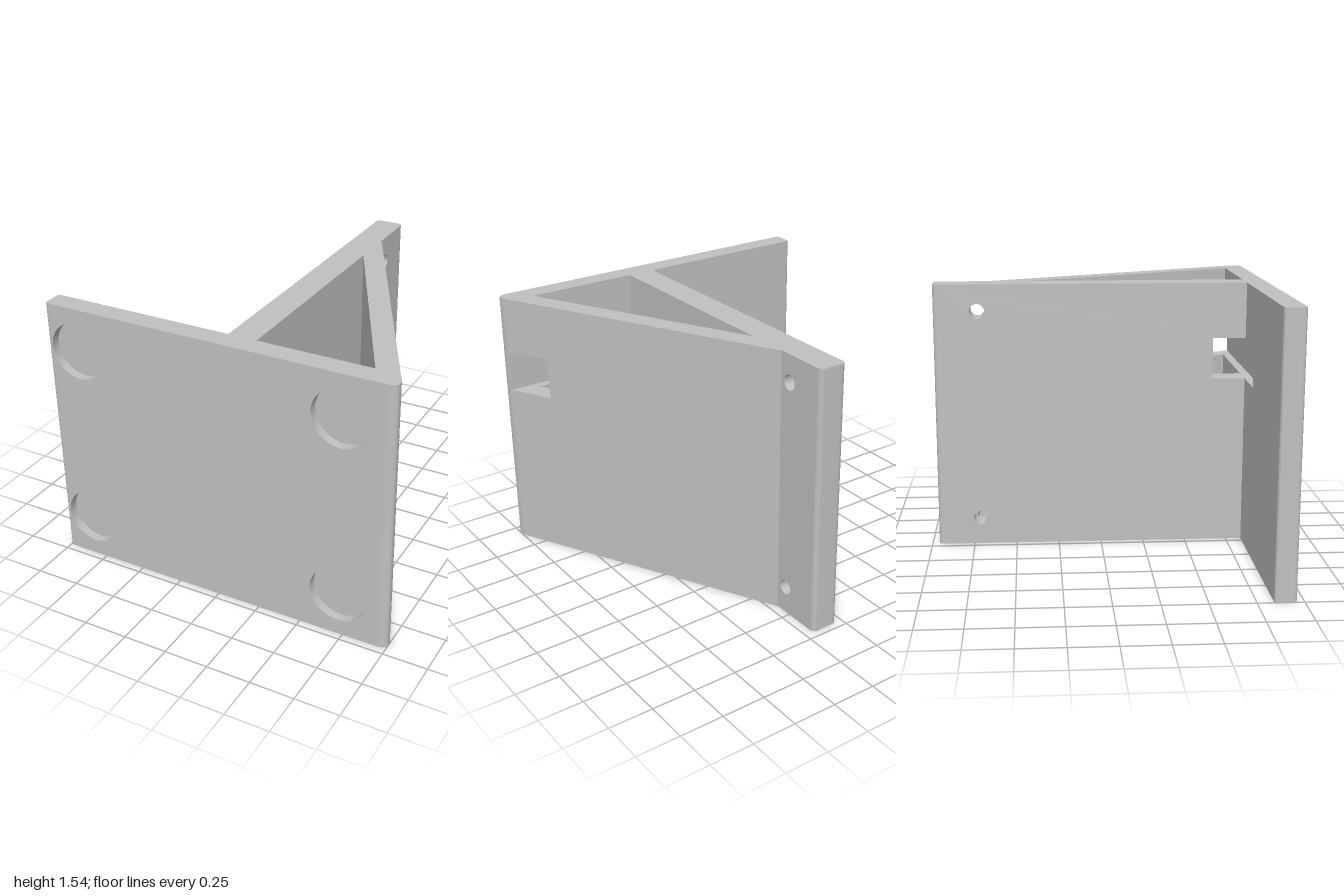
import * as THREE from 'three';
import { toCreasedNormals } from 'three/addons/utils/BufferGeometryUtils.js';

const H = 1.54;                 // overall height
const WIN = [0.98, 1.22];       // window bottom and top

export function createModel() {
  const group = new THREE.Group();
  const grey = new THREE.MeshStandardMaterial({ color: 0xc0c0c0 });
  grey.name = 'grey plastic';

  const add = (name, geometry) => {
    const mesh = new THREE.Mesh(toCreasedNormals(geometry, 0.6), grey);
    mesh.name = name;
    group.add(mesh);
  };
  const extrude = (shape, depth) =>
    new THREE.ExtrudeGeometry(shape, { depth, bevelEnabled: false, curveSegments: 32 });
  const polygon = (pts) => new THREE.Shape(pts.map(([x, y]) => new THREE.Vector2(x, y)));

  // Extrusion directions: along x (shape in -z, y), along y (shape in x, -z), along z (shape in x, y)
  const alongX = (shape, x0, x1) => extrude(shape, x1 - x0).rotateY(Math.PI / 2).translate(x0, 0, 0);
  const alongY = (shape, y0, y1) => extrude(shape, y1 - y0).rotateX(-Math.PI / 2).translate(0, y0, 0);
  const alongZ = (shape, z0, z1) => extrude(shape, z1 - z0).translate(0, 0, z0);

  // Upright panel from a to b, with the window cut in from edge a as far as n
  const notched = (a, b, n) => polygon([
    [a, 0], [b, 0], [b, H], [a, H], [a, WIN[1]], [n, WIN[1]], [n, WIN[0]], [a, WIN[0]],
  ]);
  const drill = (shape, x, y, r) =>
    shape.holes.push(new THREE.Path().absarc(x, y, r, 0, Math.PI * 2, true));

  // Front plate: grooved back, solid core, and face with four round recesses
  const plate = () => polygon([[-0.98, 0], [0.9, 0], [0.9, H], [-0.98, H]]);
  const face = plate();
  for (const x of [-0.815, 0.72]) for (const y of [0.25, 1.295]) drill(face, x, y, 0.161);
  add('frontPlateBack', alongZ(notched(0.9, -0.98, -0.23), 0.84, 0.89));
  add('frontPlateCore', alongZ(plate(), 0.89, 0.91));
  add('frontPlateFace', alongZ(face, 0.91, 0.96));

  // Rounded right-hand edge of the plate, cut by the window in the middle
  const corner = polygon([[0.9, -0.84], [0.967, -0.84], [0.98, -0.865]]);
  corner.quadraticCurveTo(1.04, -0.96, 0.94, -0.96).lineTo(0.9, -0.96);
  const cutCorner = polygon([[0.9, -0.89], [0.9938, -0.89]]);
  cutCorner.quadraticCurveTo(1.0258, -0.96, 0.94, -0.96).lineTo(0.9, -0.96);
  add('cornerLower', alongY(corner, 0, WIN[0]));
  add('cornerMiddle', alongY(cutCorner, WIN[0], WIN[1]));
  add('cornerUpper', alongY(corner, WIN[1], H));

  // Rounded left-hand edge of the plate
  const edge = polygon([[-0.98, -0.84], [-0.98, -0.96]]);
  edge.quadraticCurveTo(-1, -0.96, -1, -0.94).lineTo(-1, -0.86);
  edge.quadraticCurveTo(-1, -0.84, -0.98, -0.84);
  add('plateEdge', alongY(edge, 0, H));

  // Central web with two bolt holes near its back edge
  const web = notched(-0.84, 0.93, -0.65);
  for (const y of [0.158, 1.385]) drill(web, 0.71, y, 0.043);
  add('web', alongX(web, 0.04, 0.2));

  // Rounded back edge of the web
  const tail = polygon([[0.04, 0.93], [0.2, 0.93]]);
  tail.quadraticCurveTo(0.2, 0.96, 0.17, 0.96).lineTo(0.07, 0.96);
  tail.quadraticCurveTo(0.04, 0.96, 0.04, 0.93);
  add('webEdge', alongY(tail, 0, H));

  // Diagonal brace: a panel sheared so that x follows z
  const brace = alongX(notched(-0.84, 0.645, -0.65), 0, 0.13);
  brace.applyMatrix4(new THREE.Matrix4().set(
    1, 0, 0.514, 0.4056,
    0, 1, 0, 0,
    0, 0, 1, 0,
    0, 0, 0, 1,
  ));
  add('diagonalBrace', brace);

  return group;
}
